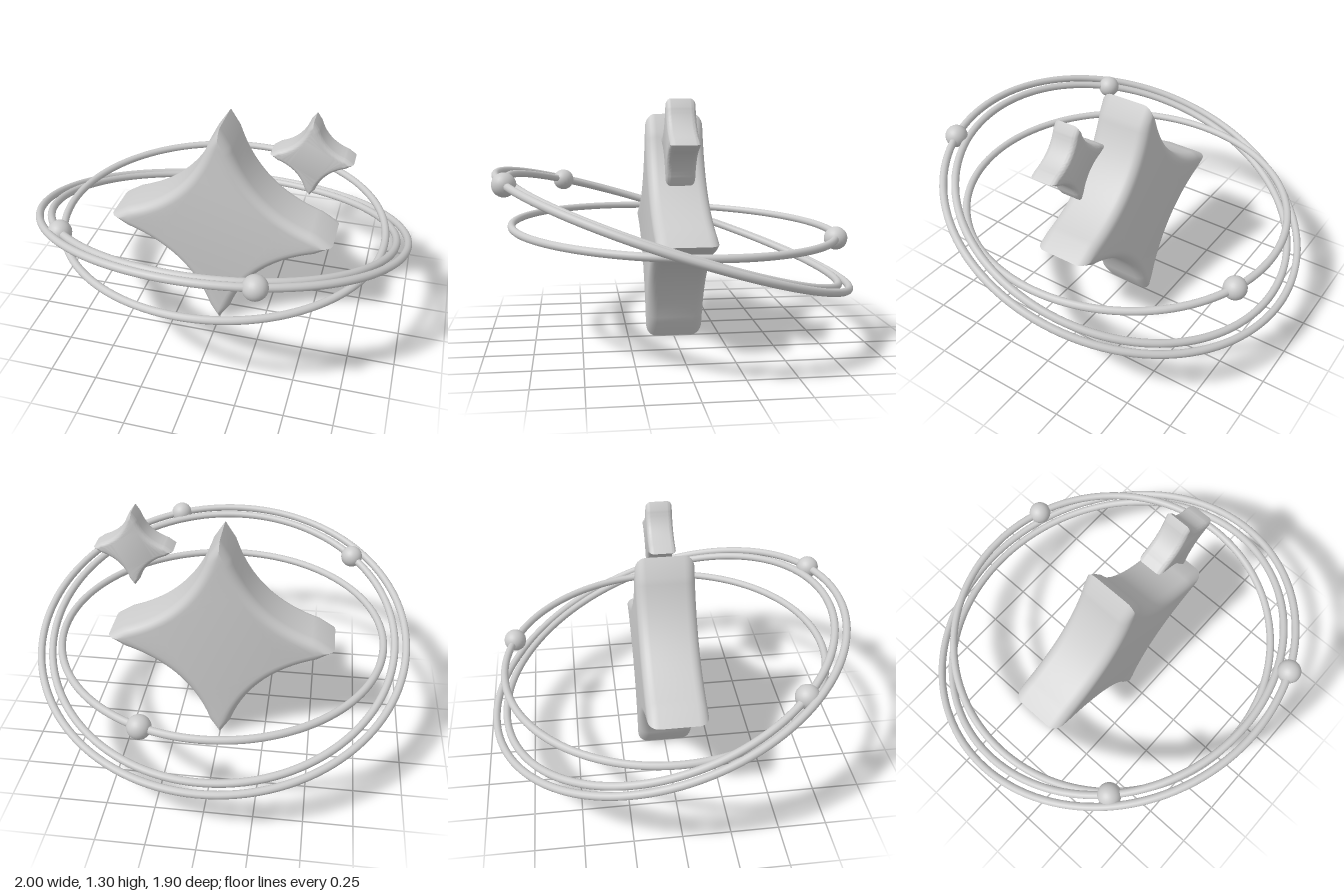
import * as THREE from 'three';
import { toCreasedNormals } from 'three/addons/utils/BufferGeometryUtils.js';

const CENTER_Y = 0.605;

// Four-pointed star with concave sides and a rounded rim, centred on its origin
function starGeometry(reach, waist, depth, bevelSize, bevelThickness) {
  const shape = new THREE.Shape();
  shape.moveTo(0, reach);
  shape.quadraticCurveTo(-waist, waist, -reach, 0);
  shape.quadraticCurveTo(-waist, -waist, 0, -reach);
  shape.quadraticCurveTo(waist, -waist, reach, 0);
  shape.quadraticCurveTo(waist, waist, 0, reach);
  const geometry = new THREE.ExtrudeGeometry(shape, {
    depth, bevelSize, bevelThickness, bevelSegments: 6, curveSegments: 24,
  });
  geometry.translate(0, 0, -depth / 2);
  return toCreasedNormals(geometry, 0.6);
}

export function createModel() {
  const model = new THREE.Group();
  model.name = 'orbitedStar';
  const grey = new THREE.MeshStandardMaterial({ color: 0xcccccc });
  grey.name = 'light grey';

  const add = (parent, name, geometry, x = 0, y = 0, z = 0) => {
    const mesh = new THREE.Mesh(geometry, grey);
    mesh.name = name;
    mesh.position.set(x, y, z);
    parent.add(mesh);
  };

  // Stars
  add(model, 'mainStar', starGeometry(0.535, 0.12, 0.196, 0.05, 0.055), 0, CENTER_Y, 0);
  add(model, 'smallStar', starGeometry(0.172, 0.039, 0.092, 0.025, 0.026), 0.46, 1.088, 0.025);

  // Orbit rings, each carrying one bead; angles run from +z towards +x
  const orbits = [
    { name: 'outer', radius: 0.98, tilt: 18, bead: 0.382 },
    { name: 'middle', radius: 0.92, tilt: 18, bead: -0.828 },
    { name: 'inner', radius: 0.86, tilt: 2, bead: 2.8 },
  ];
  for (const { name, radius, tilt, bead } of orbits) {
    const orbit = new THREE.Group();
    orbit.name = `${name}Orbit`;
    orbit.position.y = CENTER_Y;
    orbit.rotation.x = -THREE.MathUtils.degToRad(tilt);
    add(orbit, `${name}Ring`, new THREE.TorusGeometry(radius, 0.02, 12, 128).rotateX(Math.PI / 2));
    add(orbit, `${name}Bead`, new THREE.SphereGeometry(0.06, 24, 16),
      radius * Math.sin(bead), 0, radius * Math.cos(bead));
    model.add(orbit);
  }
  return model;
}
